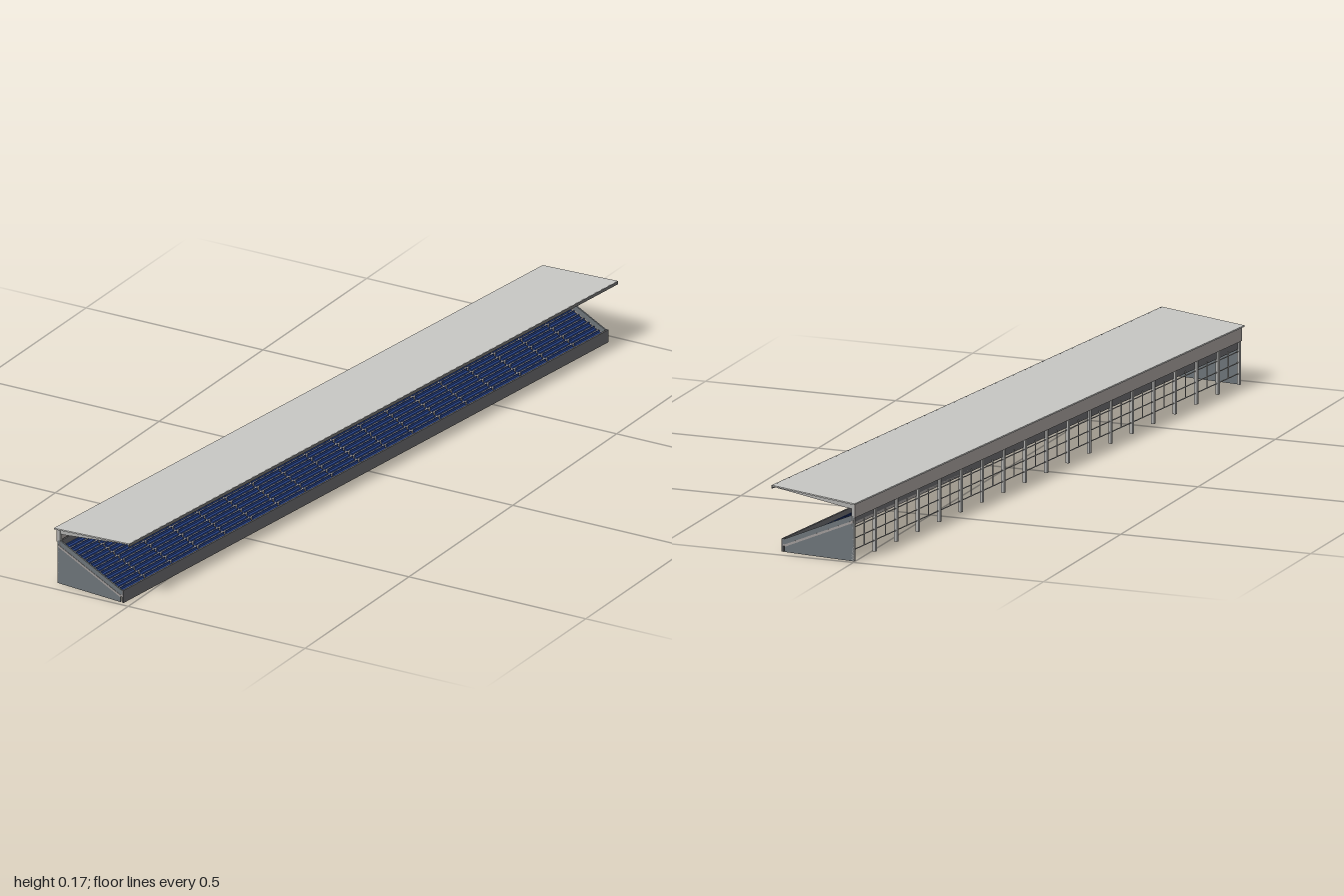
import * as THREE from 'three';

const mat = (name, color) => Object.assign(new THREE.MeshStandardMaterial({ color }), { name });

export function createModel() {
  const roofSheet = mat('roof sheet', 0xc6c6c3);
  const fasciaGrey = mat('fascia grey', 0x707070);
  const paleSteel = mat('pale steel', 0xacacaa);
  const panelGrey = mat('back panel grey', 0xa29b99);
  const concrete = mat('concrete', 0x9c9896);
  const wallGrey = mat('end wall grey', 0x6b7276);
  const darkGrey = mat('dark grey', 0x666668);
  const seatBlue = mat('seat blue', 0x28458f);

  const stand = new THREE.Group();
  stand.name = 'grandstand';

  // Box from its limits: x is depth (front +x), z runs along the stand
  const box = (name, material, x0, x1, y0, y1, z0, z1, parent = stand) => {
    const mesh = new THREE.Mesh(new THREE.BoxGeometry(x1 - x0, y1 - y0, z1 - z0), material);
    mesh.position.set((x0 + x1) / 2, (y0 + y1) / 2, (z0 + z1) / 2);
    mesh.name = name;
    parent.add(mesh);
    return mesh;
  };
  // Cross-section in x/y, extruded along z
  const slab = (name, material, points, z0, z1, parent = stand) => {
    const shape = new THREE.Shape(points.map(([x, y]) => new THREE.Vector2(x, y)));
    const mesh = new THREE.Mesh(
      new THREE.ExtrudeGeometry(shape, { depth: z1 - z0, bevelEnabled: false }), material);
    mesh.position.z = z0;
    mesh.name = name;
    parent.add(mesh);
    return mesh;
  };

  const half = 0.984, roofHalf = 0.992, bays = 18, rows = 12;
  const bay = (2 * half - 0.008) / bays;
  const frameZ = (i) => -half + 0.004 + i * bay;
  const xFront = 0.083, xBack = -0.1, yFront = 0.02, yBack = 0.096;
  const tread = (xFront - xBack) / rows, rise = (yBack - yFront) / rows;

  // Stepped terrace with a sloping underside
  const steps = [[xFront, 0.015], [xFront, yFront]];
  for (let r = 0; r < rows; r++) {
    const x = xFront - (r + 1) * tread, y = yFront + r * rise;
    steps.push([x, y], [x, y + rise]);
  }
  steps.push([-0.105, yBack], [-0.105, 0.089]);
  slab('terrace', concrete, steps, -half + 0.004, half - 0.004);
  box('walkway', concrete, xFront, 0.088, 0.015, 0.02, -half, half);
  box('frontWall', darkGrey, 0.087, 0.092, 0, 0.033, -half, half);
  box('rearParapet', darkGrey, -0.105, -0.101, 0.089, 0.114, -half, half);

  // Seat rows, broken by an aisle at every frame
  const seats = new THREE.Group();
  seats.name = 'seats';
  stand.add(seats);
  for (let b = 0; b < bays; b++) {
    const z0 = frameZ(b) + 0.004, z1 = frameZ(b + 1) - 0.004;
    for (let r = 0; r < rows; r++) {
      const x = xFront - (r + 1) * tread, y = yFront + r * rise;
      box('seatBench', seatBlue, x + 0.001, x + 0.009, y, y + 0.004, z0, z1, seats);
      box('seatBack', seatBlue, x + 0.0005, x + 0.0025, y + 0.004, y + 0.0095, z0, z1, seats);
    }
  }

  // End walls with a pale stringer and a parapet above it
  for (const s of [-1, 1]) {
    const end = new THREE.Group();
    end.name = 'endWall';
    stand.add(end);
    const span = (a, b) => (s > 0 ? [a, b] : [-b, -a]);
    slab('endPanel', wallGrey, [[-0.108, 0], [0.083, 0], [0.083, 0.014], [-0.108, 0.098]],
      ...span(half - 0.004, half), end);
    slab('stringer', concrete, [[-0.108, 0.097], [0.083, 0.013], [0.083, 0.019], [-0.108, 0.103]],
      ...span(half - 0.004, half + 0.001), end);
    slab('parapet', wallGrey, [[-0.108, 0.102], [0.083, 0.018], [0.091, 0.018], [0.091, 0.033],
      [0.083, 0.033], [-0.1, 0.114], [-0.108, 0.114]], ...span(half - 0.004, half), end);
  }

  // Columns with tapered roof beams
  for (let i = 0; i <= bays; i++) {
    const z = frameZ(i);
    const frame = new THREE.Group();
    frame.name = 'frame';
    stand.add(frame);
    box('column', paleSteel, -0.11, -0.102, 0, 0.144, z - 0.004, z + 0.004, frame);
    slab('roofBeam', paleSteel, [[-0.11, 0.131], [-0.09, 0.132], [0.105, 0.158], [0.105, 0.162],
      [-0.11, 0.145]], z - 0.002, z + 0.002, frame);
  }

  // Rear rails and slim posts in the middle of each bay
  for (const y of [0.028, 0.056, 0.084])
    box('rearRail', paleSteel, -0.107, -0.105, y - 0.001, y + 0.001, -half, half);
  for (let i = 0; i < bays; i++) {
    const z = frameZ(i + 0.5);
    box('rearPost', paleSteel, -0.107, -0.105, 0.027, 0.095, z - 0.001, z + 0.001);
  }

  // Back panel under the roof
  box('backPanel', panelGrey, -0.1125, -0.1095, 0.11, 0.145, -half, half);

  // Sloping roof with front fascia
  slab('roof', roofSheet, [[-0.115, 0.144], [0.115, 0.163], [0.115, 0.1662], [-0.115, 0.1475]],
    -roofHalf, roofHalf);
  box('roofFascia', fasciaGrey, 0.112, 0.1155, 0.158, 0.166, -roofHalf, roofHalf);

  // The whole stand is turned slightly on its plot
  stand.rotation.y = -0.1135;
  const model = new THREE.Group();
  model.name = 'model';
  model.add(stand);
  return model;
}
